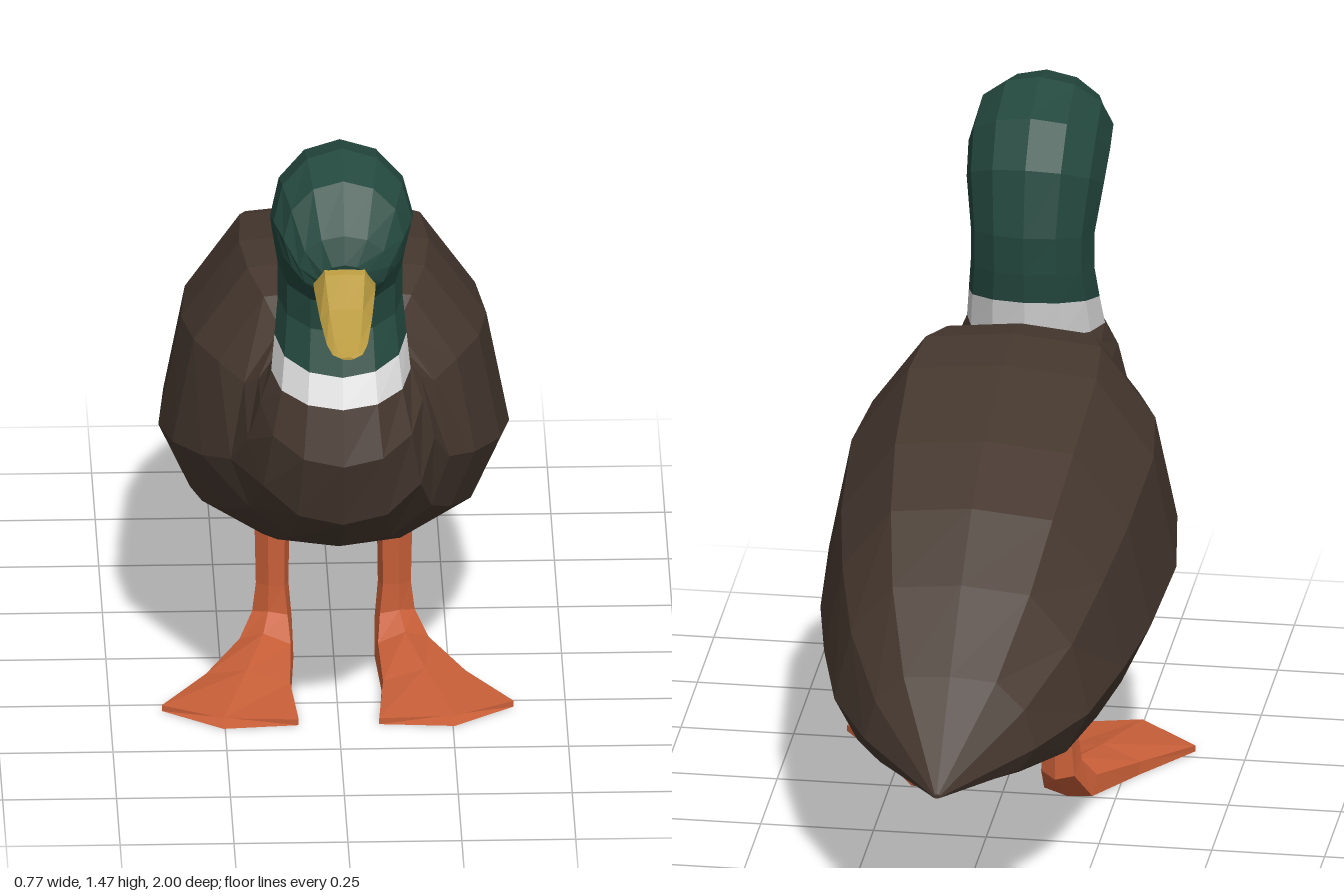
import * as THREE from 'three';

const mat = (name, color) => new THREE.MeshStandardMaterial({ name, color });

// Half cross-sections from top (t = 0) to bottom (t = 1): [half width, t]
const ROUND = [0, 1, 2, 3, 4, 5, 6].map(i => [Math.sin(i * Math.PI / 6), (1 - Math.cos(i * Math.PI / 6)) / 2]);
const BODY = [[0, 0], [0.54, 0.03], [0.87, 0.28], [1, 0.64], [0.82, 0.85], [0.45, 0.97], [0, 1]];
const BILL = [[0, 0], [0.65, 0.03], [1, 0.5], [0.55, 0.95], [0, 1]];
const LEG = [[0, 0], [0.87, 0.22], [0.87, 0.78], [0, 1]];
const WEB = [[0, 0], [1, 0.45], [1, 1], [0, 1]];

// Ring: [top z, top y, bottom z, bottom y, half width, blend from section A to B, bulge]
function ringPoints([tz, ty, bz, by, w, blend = 0, bulge = 0], A, B) {
  const half = A.map(([x, t], i) => {
    const u = x + (B[i][0] - x) * blend, v = t + (B[i][1] - t) * blend;
    return new THREE.Vector3(u * w, ty + (by - ty) * v, tz + (bz - tz) * v + bulge * (1 - u));
  });
  const mirrored = half.slice(1, -1).reverse().map(p => new THREE.Vector3(-p.x, p.y, p.z));
  return [...half, ...mirrored];
}

// Faceted skin through the rings, capped at both ends
function loft(rings, A, B = A) {
  const pts = rings.map(r => ringPoints(r, A, B));
  const n = pts[0].length, out = [];
  const tri = (...v) => v.forEach(p => out.push(p.x, p.y, p.z));
  const centre = ring => ring.reduce((s, p) => s.add(p), new THREE.Vector3()).divideScalar(n);
  const first = pts[0], last = pts[pts.length - 1];
  const c0 = centre(first), c1 = centre(last);
  for (let j = 0; j < n; j++) {
    const k = (j + 1) % n;
    for (let i = 0; i < pts.length - 1; i++) {
      const a = pts[i][j], b = pts[i][k], c = pts[i + 1][k], d = pts[i + 1][j];
      tri(a, d, b);
      tri(b, d, c);
    }
    tri(c0, first[j], first[k]);
    tri(c1, last[k], last[j]);
  }
  const g = new THREE.BufferGeometry();
  g.setAttribute('position', new THREE.Float32BufferAttribute(out, 3));
  g.computeVertexNormals();
  return g;
}

export function createModel() {
  const brown = mat('brown feathers', 0x46382f);
  const white = mat('white collar', 0xd9d9d9);
  const green = mat('green feathers', 0x24493f);
  const yellow = mat('yellow bill', 0xb99a40);
  const orange = mat('orange skin', 0xc85f38);

  const duck = new THREE.Group();
  duck.name = 'duck';
  const add = (name, geometry, material) => {
    const mesh = new THREE.Mesh(geometry, material);
    mesh.name = name;
    duck.add(mesh);
    return mesh;
  };

  const collarBase = [0.34, 0.94, 0.67, 0.89, 0.153, 1];
  const collarTop = [0.325, 1.03, 0.63, 0.95, 0.145, 1];

  // Body from tail tip to breast, with rings fanning up into the neck
  add('body', loft([
    [-1, 0.425, -1, 0.415, 0.008],
    [-0.8, 0.62, -0.8, 0.37, 0.19],
    [-0.63, 0.765, -0.62, 0.31, 0.282],
    [-0.47, 0.88, -0.42, 0.295, 0.332],
    [-0.28, 0.96, -0.25, 0.292, 0.366],
    [0, 1.022, 0, 0.305, 0.385],
    [0.16, 1.028, 0.2, 0.365, 0.36],
    [0.27, 1.005, 0.36, 0.425, 0.3],
    [0.33, 0.955, 0.52, 0.5, 0.24, 0.2],
    [0.34, 0.95, 0.66, 0.61, 0.205, 0.5],
    [0.34, 0.945, 0.71, 0.77, 0.178, 0.8],
    collarBase,
  ], BODY, ROUND), brown);

  add('collar', loft([collarBase, collarTop], BODY, ROUND), white);

  // Neck and head, with rings fanning around the chin
  add('head', loft([
    collarTop,
    [0.315, 1.1, 0.59, 1.04, 0.137],
    [0.31, 1.19, 0.595, 1.11, 0.137],
    [0.34, 1.34, 0.645, 1.165, 0.152],
    [0.42, 1.43, 0.69, 1.19, 0.157],
    [0.56, 1.47, 0.72, 1.195, 0.152],
    [0.67, 1.44, 0.735, 1.195, 0.132],
    [0.752, 1.345, 0.745, 1.195, 0.1],
    [0.775, 1.285, 0.752, 1.2, 0.055],
  ], ROUND), green);

  add('bill', loft([
    [0.73, 1.285, 0.71, 1.19, 0.07],
    [0.79, 1.27, 0.77, 1.185, 0.067],
    [0.87, 1.222, 0.87, 1.173, 0.057],
    [0.95, 1.185, 0.95, 1.162, 0.045],
    [0.985, 1.17, 0.985, 1.158, 0.033],
    [1, 1.164, 1, 1.158, 0.014],
  ], BILL), yellow);

  // Legs running down into splayed webbed feet
  for (const [name, side] of [['leftLeg', 1], ['rightLeg', -1]]) {
    const geometry = loft([
      [0.035, 0.36, -0.04, 0.36, 0.042],
      [0.033, 0.28, -0.037, 0.28, 0.039],
      [0.03, 0.17, -0.036, 0.16, 0.037],
      [0.033, 0.11, -0.036, 0.065, 0.046],
      [0.075, 0.075, 0.03, 0, 0.062, 0.5],
      [0.22, 0.05, 0.2, 0, 0.095, 1],
      [0.37, 0.025, 0.37, 0, 0.155, 1, 0.06],
    ], LEG, WEB);
    geometry.rotateY(side * 0.28);
    add(name, geometry, orange).position.set(side * 0.135, 0, -0.03);
  }

  return duck;
}
